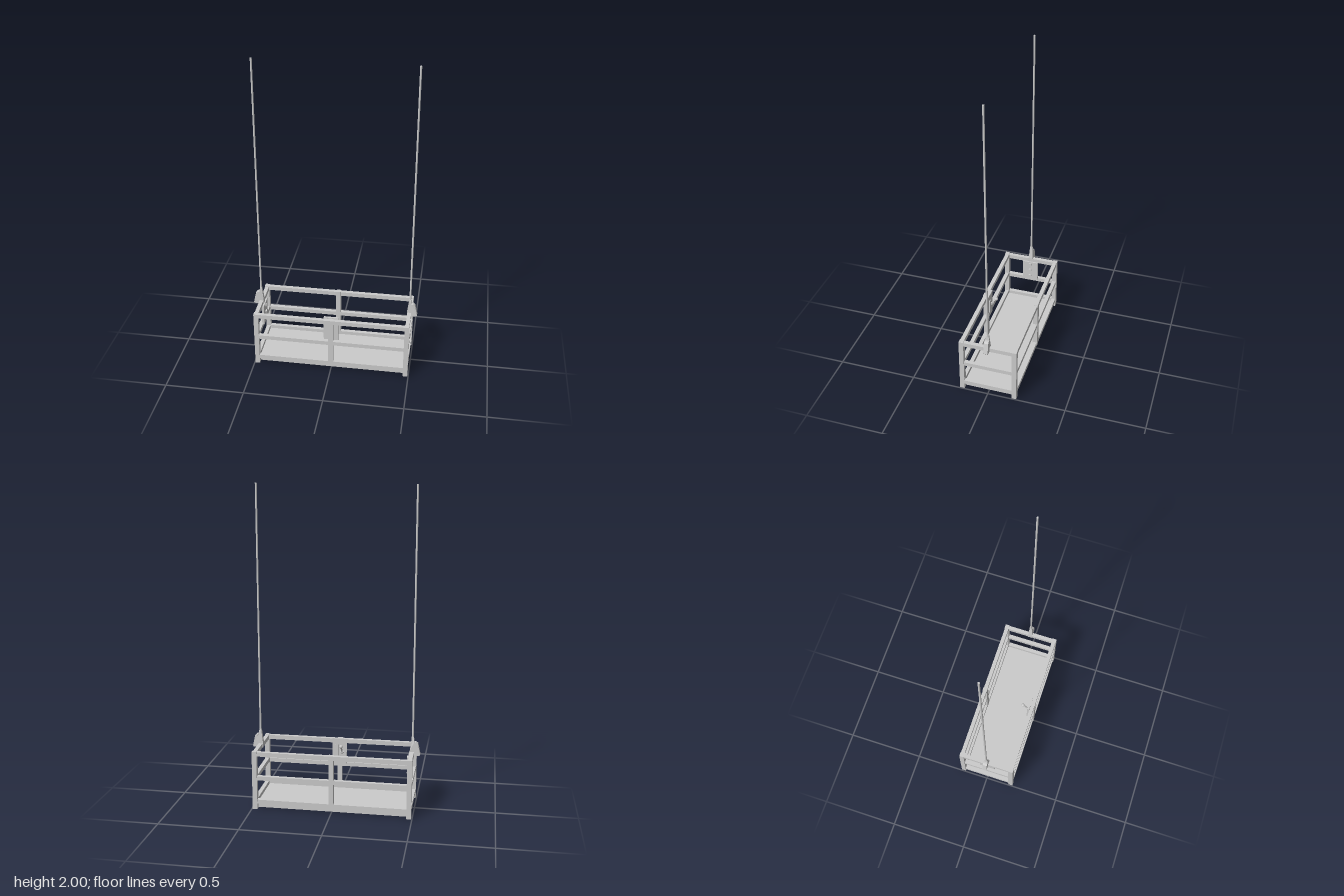
import * as THREE from 'three';

const mat = new THREE.MeshStandardMaterial({ color: 0xcccccc, flatShading: true });
const smooth = new THREE.MeshStandardMaterial({ color: 0xcccccc });

export function createModel() {
  const model = new THREE.Group();

  const add = (name, geo, x, y, z, material = mat, parent = model) => {
    const m = new THREE.Mesh(geo, material);
    m.name = name;
    m.position.set(x, y, z);
    parent.add(m);
    return m;
  };
  // box given by its lower and upper limits
  const box = (name, [x0, x1], [y0, y1], [z0, z1], parent = model) =>
    add(name, new THREE.BoxGeometry(x1 - x0, y1 - y0, z1 - z0),
      (x0 + x1) / 2, (y0 + y1) / 2, (z0 + z1) / 2, mat, parent);
  // cylinder between two points
  const rod = (name, a, b, r0, r1, parent = model, sides = 16) => {
    const p = new THREE.Vector3(...a), q = new THREE.Vector3(...b);
    const d = q.clone().sub(p);
    const m = add(name, new THREE.CylinderGeometry(r1, r0, d.length(), sides), 0, 0, 0, smooth, parent);
    m.position.copy(p).add(q).multiplyScalar(0.5);
    m.quaternion.setFromUnitVectors(new THREE.Vector3(0, 1, 0), d.normalize());
    return m;
  };

  const X = 0.495, Z = 0.185, P = 0.03;

  // floor slab between the posts
  box('floor', [-0.467, 0.467], [0.004, 0.04], [-0.157, 0.157]);

  // corner posts
  for (const sx of [-1, 1]) for (const sz of [-1, 1])
    add('cornerPost', new THREE.BoxGeometry(P, 0.375, P), sx * (X - P / 2), 0.1875, sz * (Z - P / 2));

  // rails at three heights, and the middle posts
  const levels = [['bottomRail', 0.036, 0.062], ['middleRail', 0.19, 0.216], ['topRail', 0.346, 0.373]];
  for (const s of [-1, 1]) {
    for (const [name, y0, y1] of levels) {
      const h = y1 - y0, y = (y0 + y1) / 2;
      add(name, new THREE.BoxGeometry(2 * (X - P), h, 0.025), 0, y, s * (Z - P / 2));
      add(name, new THREE.BoxGeometry(0.025, h, 2 * (Z - P)), s * (X - P / 2), y, 0);
    }
    add('middlePost', new THREE.BoxGeometry(P, 0.339, P), 0, 0.2055, s * (Z - P / 2));
  }

  // hoist bracket and rope at each end
  const profile = [[0.465, 0.346], [0.525, 0.35], [0.53, 0.357], [0.515, 0.425], [0.503, 0.435],
    [0.492, 0.435], [0.488, 0.465], [0.476, 0.465], [0.465, 0.378]];
  for (const s of [-1, 1]) {
    const hoist = new THREE.Group();
    hoist.name = s > 0 ? 'leftHoist' : 'rightHoist';
    const pts = profile.map(([x, y]) => new THREE.Vector2(s * x, y));
    const body = new THREE.ExtrudeGeometry(new THREE.Shape(pts), { depth: 0.028, bevelEnabled: false });
    // narrow the neck at the top
    const p = body.attributes.position;
    for (let i = 0; i < p.count; i++)
      p.setZ(i, (p.getZ(i) - 0.014) * (p.getY(i) > 0.44 ? 0.6 : 1));
    body.computeVertexNormals();
    add('hoistBody', body, 0, 0, 0, mat, hoist);
    rod('ropeCollar', [s * 0.482, 0.44, 0], [s * 0.482, 0.47, 0], 0.009, 0.007, hoist);
    rod('rope', [s * 0.482, 0.46, 0], [s * 0.482, 2, 0], 0.006, 0.006, hoist);
    model.add(hoist);
  }

  // button panel inside the right end
  const buttons = new THREE.Group();
  buttons.name = 'buttonPanel';
  box('panelPlate', [-0.472, -0.457], [0.212, 0.35], [-0.052, 0.052], buttons);
  for (const y of [0.235, 0.283, 0.33])
    rod('button', [-0.458, y, 0], [-0.449, y, 0], 0.012, 0.012, buttons);
  model.add(buttons);

  // lever panel inside the front middle post
  const lever = new THREE.Group();
  lever.name = 'leverPanel';
  box('leverPlate', [-0.048, 0.045], [0.212, 0.38], [0.142, 0.156], lever);
  box('switch', [0.004, 0.025], [0.25, 0.34], [0.136, 0.143], lever);
  rod('leverBase', [-0.017, 0.29, 0.143], [-0.017, 0.296, 0.137], 0.012, 0.01, lever);
  rod('leverStem', [-0.017, 0.29, 0.143], [-0.017, 0.335, 0.108], 0.005, 0.005, lever);
  add('leverKnob', new THREE.SphereGeometry(0.011, 16, 12), -0.017, 0.338, 0.105, smooth, lever);
  model.add(lever);

  return model;
}
